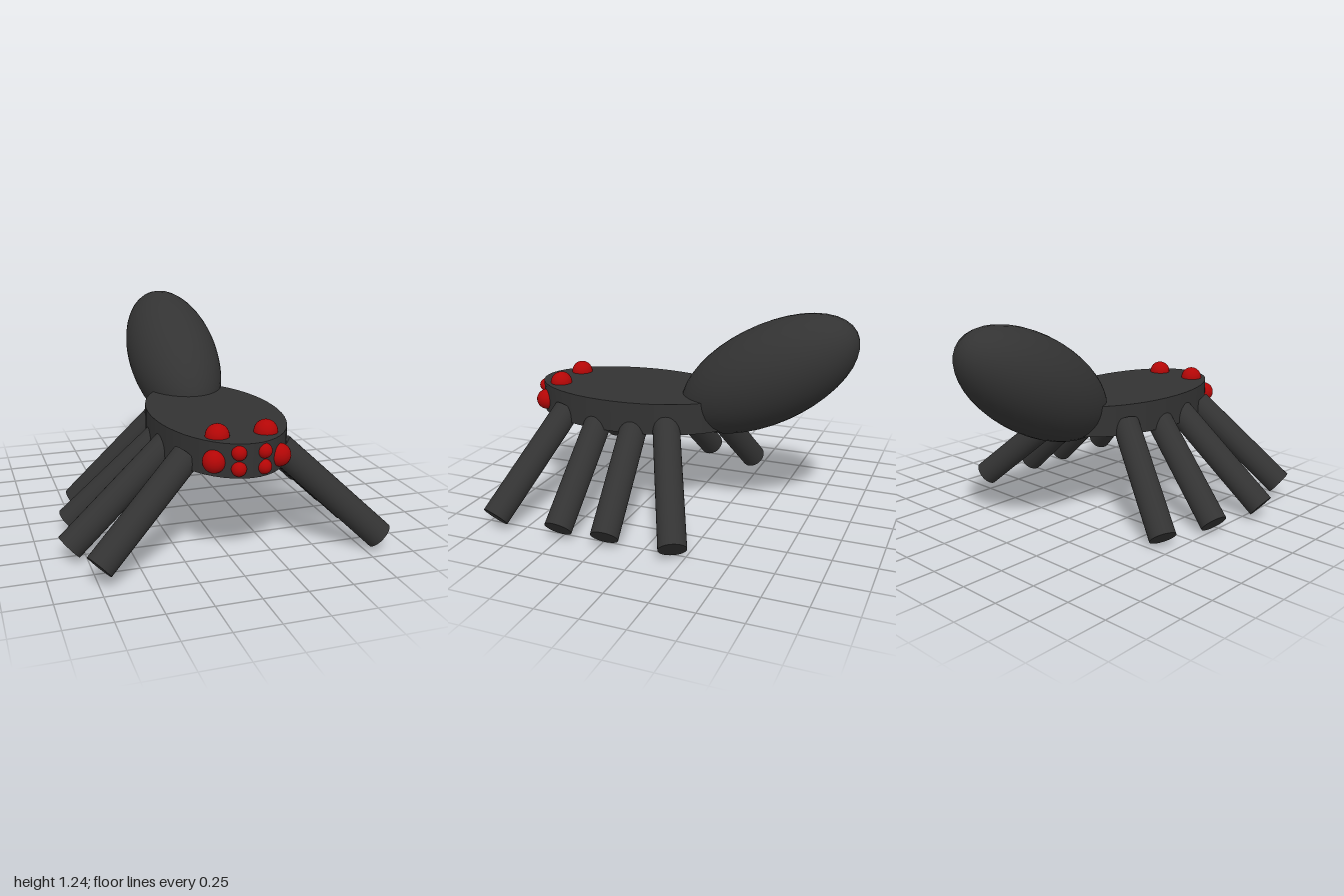
import * as THREE from 'three';

export function createModel() {
  const group = new THREE.Group();
  const dark = new THREE.MeshStandardMaterial({ color: 0x333333 });
  const red = new THREE.MeshStandardMaterial({ color: 0xb30606 });
  const cx = 0.04; // centre line of the body

  const add = (name, geometry, material, x, y, z) => {
    const mesh = new THREE.Mesh(geometry, material);
    mesh.name = name;
    mesh.position.set(x, y, z);
    group.add(mesh);
    return mesh;
  };

  // Flat oval body
  const body = add('body', new THREE.CylinderGeometry(1, 1, 0.185, 48), dark, cx, 0.632, 0.35);
  body.scale.set(0.367, 1, 0.627);

  // Abdomen: long ellipsoid rising towards the back, poles at its sides
  const egg = new THREE.SphereGeometry(1, 40, 20).rotateZ(Math.PI / 2).scale(0.285, 0.285, 0.582);
  add('abdomen', egg, dark, cx, 0.87, -0.475).rotation.x = Math.PI / 6;

  // Legs: [root, foot], from front to back on each side
  const legs = {
    leftLeg: [
      [[0.30, 0.595, 0.707], [0.835, 0.083, 0.905]],
      [[0.30, 0.595, 0.475], [0.84, 0.083, 0.49]],
      [[0.30, 0.595, 0.245], [0.84, 0.083, 0.2]],
      [[0.30, 0.595, 0.053], [0.835, 0.083, -0.205]],
    ],
    rightLeg: [
      [[-0.23, 0.595, 0.705], [-0.75, 0.12, 0.9]],
      [[-0.26, 0.60, 0.468], [-0.845, 0.085, 0.55]],
      [[-0.24, 0.60, 0.277], [-0.78, 0.07, 0.16]],
      [[-0.22, 0.60, 0.012], [-0.68, 0.06, -0.185]],
    ],
  };
  const up = new THREE.Vector3(0, 1, 0);
  for (const [side, list] of Object.entries(legs)) {
    list.forEach(([a, b], i) => {
      const root = new THREE.Vector3(...a), foot = new THREE.Vector3(...b);
      const axis = root.clone().sub(foot);
      const mid = root.add(foot).multiplyScalar(0.5);
      const leg = add(side + (i + 1), new THREE.CylinderGeometry(0.08, 0.08, axis.length(), 32),
        dark, mid.x, mid.y, mid.z);
      leg.quaternion.setFromUnitVectors(up, axis.normalize());
    });
  }

  // Eyes, mirrored about the centre line: [name, offset, y, z, radius]
  const eyes = [
    ['topEye', 0.135, 0.727, 0.81, 0.065],
    ['sideEye', 0.18, 0.62, 0.893, 0.062],
    ['upperFrontEye', 0.069, 0.675, 0.96, 0.04],
    ['lowerFrontEye', 0.069, 0.59, 0.96, 0.04],
  ];
  for (const [name, dx, y, z, r] of eyes) {
    for (const s of [-1, 1]) {
      add(name + (s > 0 ? 'Left' : 'Right'), new THREE.SphereGeometry(r, 24, 16), red, cx + s * dx, y, z);
    }
  }

  return group;
}
